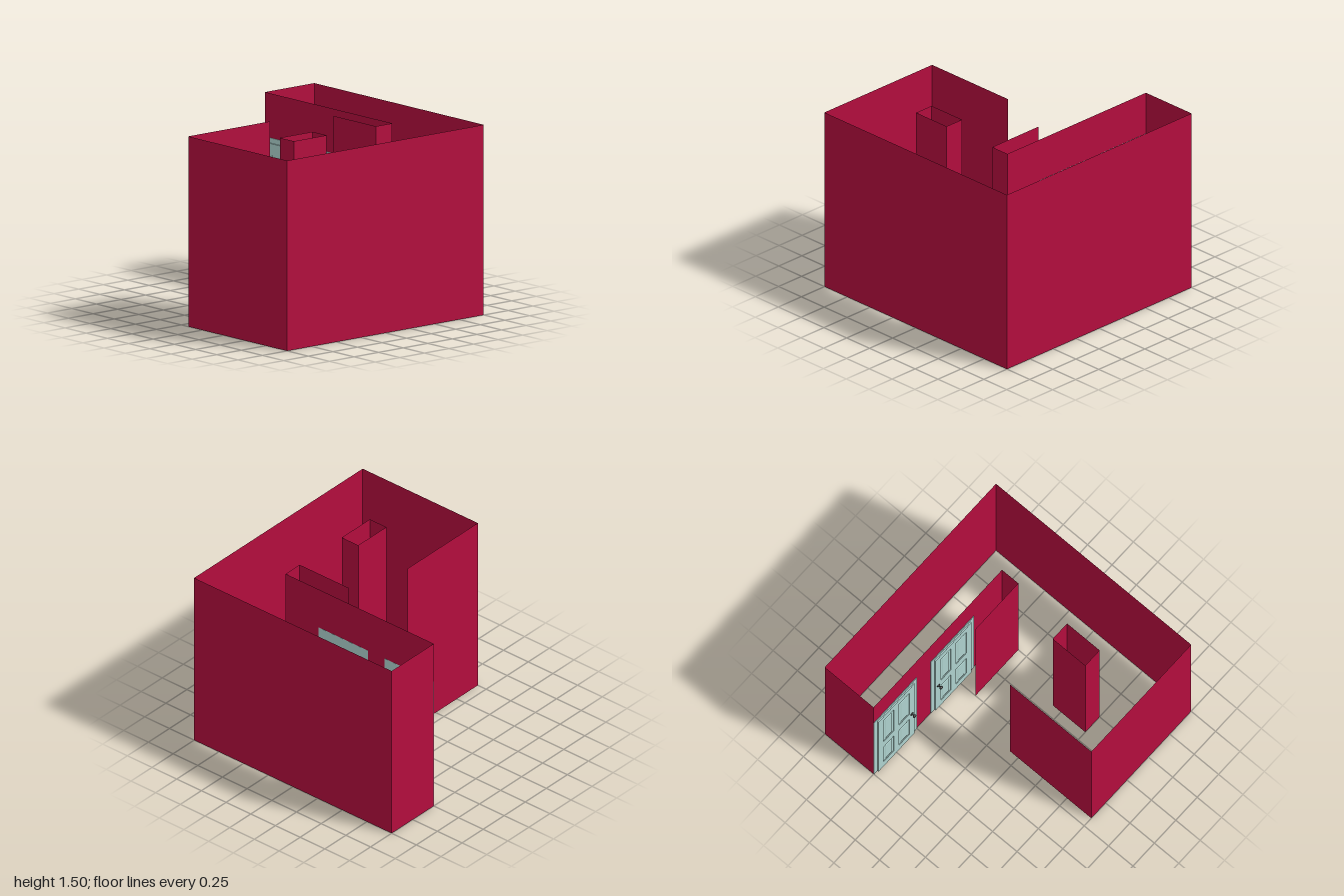
import * as THREE from 'three';

const wallMat = new THREE.MeshStandardMaterial({ color: 0xb40d3e, side: THREE.DoubleSide });
const doorMat = new THREE.MeshStandardMaterial({ color: 0xafd3cf });
const knobMat = new THREE.MeshStandardMaterial({ color: 0x333333 });

const HEIGHT = 1.5;
const S = 1 / 6; // plan module

function add(parent, name, geometry, material, x = 0, y = 0, z = 0) {
  const mesh = new THREE.Mesh(geometry, material);
  mesh.name = name;
  mesh.position.set(x, y, z);
  parent.add(mesh);
  return mesh;
}

const outline = (points) => new THREE.Shape(points.map(([x, y]) => new THREE.Vector2(x, y)));

function rect(x0, y0, x1, y1) {
  return outline([[x0, y0], [x1, y0], [x1, y1], [x0, y1]]);
}

// Flat upright wall between two plan points
function wall(parent, name, [x0, z0], [x1, z1]) {
  const length = Math.hypot(x1 - x0, z1 - z0);
  const mesh = add(parent, name, new THREE.PlaneGeometry(length, HEIGHT), wallMat,
    (x0 + x1) / 2, HEIGHT / 2, (z0 + z1) / 2);
  mesh.rotation.y = -Math.atan2(z1 - z0, x1 - x0);
}

// Slab of a shape, centred on its depth
function slab(shape, depth) {
  const geometry = new THREE.ExtrudeGeometry(shape, { depth, bevelEnabled: false });
  return geometry.translate(0, 0, -depth / 2);
}

// Four-panel door with casing; knobSide is +1 or -1 along the door width
function door(name, zCentre, knobSide) {
  const group = new THREE.Group();
  group.name = name;

  // Casing: two stepped U-shaped borders
  const border = (out, top, inn, innTop) => outline([
    [-out, 0], [-inn, 0], [-inn, innTop], [inn, innTop], [inn, 0], [out, 0], [out, top], [-out, top],
  ]);
  add(group, 'outerCasing', slab(border(0.25, 1.15, 0.23, 1.13), 0.006), doorMat, 0, 0, -0.007);
  add(group, 'innerCasing', slab(border(0.23, 1.13, 0.21, 1.11), 0.004), doorMat, 0, 0, -0.006);

  // Stiles and rails, open where the panels sit
  const leaf = rect(-0.21, 0, 0.21, 1.11);
  for (const side of [-1, 1]) {
    for (const [y0, y1] of [[0.1, 0.43], [0.55, 1.02]]) {
      const [x0, x1] = side < 0 ? [-0.15, -0.03] : [0.03, 0.15];
      leaf.holes.push(rect(x0, y0, x1, y1));
      add(group, 'recessedPanel', slab(rect(x0, y0, x1, y1), 0.003), doorMat);
      // Raised field with sloping edges on both faces
      const field = new THREE.ExtrudeGeometry(rect(x0 + 0.03, y0 + 0.03, x1 - 0.03, y1 - 0.03), {
        depth: 0.002, bevelThickness: 0.004, bevelSize: 0.012, bevelSegments: 1,
      });
      add(group, 'raisedField', field.translate(0, 0, -0.001), doorMat);
    }
  }
  add(group, 'doorLeaf', slab(leaf, 0.013), doorMat);

  // Knobs on both faces: rose, spindle and flattened ball
  const profile = [[0, -0.047], [0.009, -0.045], [0.015, -0.039], [0.015, -0.033], [0.009, -0.027],
    [0.005, -0.023], [0.005, -0.015], [0.015, -0.011], [0.015, -0.006]];
  const points = profile.map(([r, h]) => new THREE.Vector2(r, h));
  for (const face of [-1, 1]) {
    const geometry = new THREE.LatheGeometry(points, 20);
    geometry.rotateX(face > 0 ? -Math.PI / 2 : Math.PI / 2);
    add(group, 'doorKnob', geometry, knobMat, knobSide * 0.178, 0.5, 0);
  }

  group.rotation.y = -Math.PI / 2;
  group.position.set(0.491, 0, zCentre);
  return group;
}

export function createModel() {
  const model = new THREE.Group();
  model.name = 'room';

  // Outer walls
  wall(model, 'frontWall', [-1, 1], [1, 1]);
  wall(model, 'leftWall', [1, 1], [1, -1]);
  wall(model, 'hallEndWall', [1, -1], [0.5, -1]);
  wall(model, 'rightWall', [-1, 1], [-1, -S]);
  wall(model, 'backWall', [-1, -S], [-S, -S]);

  // Partition with two doorways
  const top = 1.15;
  const partition = outline([
    [-0.5, 0], [-2 * S, 0], [-2 * S, top], [S, top], [S, 0], [0.5, 0],
    [0.5, HEIGHT], [-1, HEIGHT], [-1, top], [-0.5, top],
  ]);
  add(model, 'partitionWall', new THREE.ShapeGeometry(partition), wallMat, 0.5).rotation.y = -Math.PI / 2;

  // Short return beside the partition
  wall(model, 'returnEnd', [0.5, 0.5], [2 * S, 0.5]);
  wall(model, 'returnWall', [2 * S, 0.5], [2 * S, 0]);

  // Hollow free-standing pillar
  const corners = [[-S, 2 * S], [-S, 0.5], [-0.5, 0.5], [-0.5, 2 * S]];
  corners.forEach((corner, i) => wall(model, 'pillarSide', corner, corners[(i + 1) % 4]));

  model.add(door('rearDoor', -0.75, 1));
  model.add(door('middleDoor', -S / 2, -1));
  return model;
}
